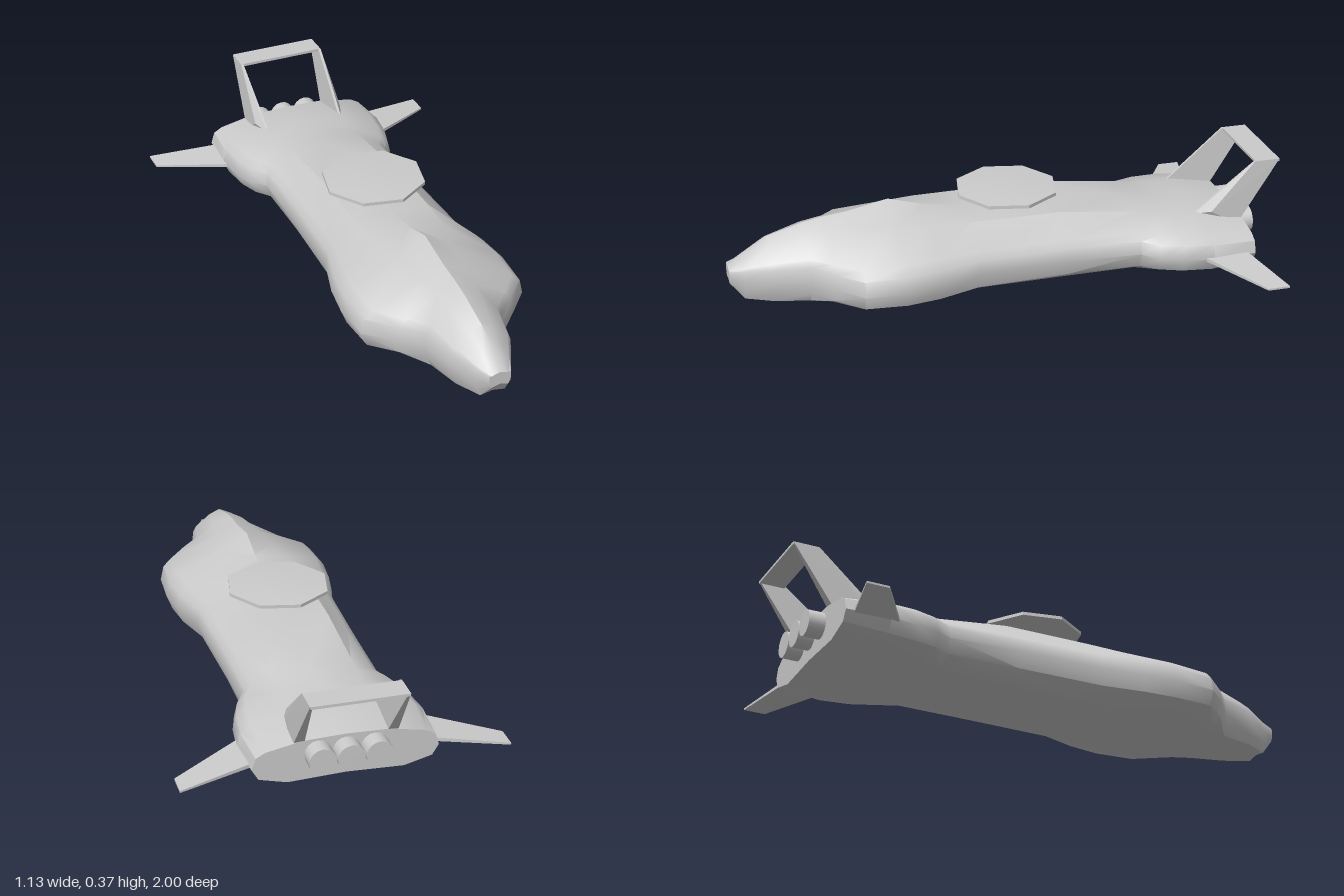
import * as THREE from 'three';
import { toCreasedNormals } from 'three/addons/utils/BufferGeometryUtils.js';
import { ConvexGeometry } from 'three/addons/geometries/ConvexGeometry.js';

const material = new THREE.MeshStandardMaterial({ color: 0xcccccc });

function part(name, geometry, parent) {
  const mesh = new THREE.Mesh(geometry, material);
  mesh.name = name;
  parent.add(mesh);
  return mesh;
}

// Hull stations, nose to tail:
// z, ridge y, deck edge x, deck edge y, shoulder y, half width, widest y, keel x, keel y
const STATIONS = [
  [1.0, .135, .02, .13, .125, .04, .11, .03, .08],
  [.95, .17, .03, .16, .14, .065, .1, .045, .02],
  [.86, .23, .04, .212, .165, .112, .1, .09, .02],
  [.73, .267, .06, .243, .18, .143, .1, .12, .018],
  [.66, .28, .07, .25, .18, .22, .1, .14, .015],
  [.57, .29, .08, .255, .18, .305, .095, .17, .008],
  [.42, .32, .1, .262, .185, .315, .095, .18, .004],
  [.3, .285, .13, .26, .185, .3, .1, .18, .005],
  [.15, .26, .14, .256, .18, .26, .11, .17, .01],
  [-.18, .258, .14, .254, .177, .25, .11, .17, .012],
  [-.45, .225, .14, .221, .17, .25, .1, .17, .012],
  [-.51, .217, .14, .212, .165, .29, .09, .18, .01],
  [-.59, .205, .14, .201, .165, .315, .085, .19, .006],
  [-.7, .202, .15, .198, .16, .33, .085, .19, .004],
  [-.86, .175, .15, .17, .145, .32, .085, .2, .022],
];

// Symmetric ring around one station, clockwise from the ridge
function ring([z, yt, ax, ay, by, w, wy, dx, yb]) {
  const half = [
    [ax, ay], [w * .86, by], [w * .96, (by + wy) / 2 + .012], [w, wy],
    [w * .93, wy * .4 + yb * .6], [dx, yb],
  ];
  const mirrored = half.map(([x, y]) => [-x, y]).reverse();
  return [[0, yt], ...half, [0, yb + .008], ...mirrored].map(([x, y]) => [x, y, z]);
}

function hullGeometry() {
  const rings = STATIONS.map(ring);
  const n = rings[0].length;
  const last = rings.length - 1;
  const points = rings.flat();
  const index = [];
  for (let i = 0; i < last; i++) {
    for (let j = 0; j < n; j++) {
      const k = (j + 1) % n;
      const a = i * n + j, b = i * n + k, c = a + n, d = b + n;
      // Mirror the diagonal so both sides match
      if (j < n / 2) index.push(a, b, c, b, d, c);
      else index.push(a, b, d, a, d, c);
    }
  }
  // Nose tip and stern caps
  const nose = points.push([0, .11, 1.0]) - 1;
  const stern = points.push([0, .1, -.86]) - 1;
  for (let j = 0; j < n; j++) {
    const k = (j + 1) % n;
    index.push(nose, k, j, stern, last * n + j, last * n + k);
  }
  const geometry = new THREE.BufferGeometry();
  geometry.setAttribute('position', new THREE.Float32BufferAttribute(points.flat(), 3));
  geometry.setIndex(index);
  return toCreasedNormals(geometry, 0.7);
}

// Flat-faced solid from its corners, mirrored by side (+1 left, -1 right)
function solid(corners, side = 1) {
  return new ConvexGeometry(corners.map(([x, y, z]) => new THREE.Vector3(x * side, y, z)));
}

export function createModel() {
  const model = new THREE.Group();
  model.name = 'spacecraft';
  part('hull', hullGeometry(), model);

  for (const side of [1, -1]) {
    const label = side > 0 ? 'left' : 'right';
    // Swept side wing, thinner at the tip
    part(label + 'Wing', solid([
      [.3, .094, -.655], [.3, .08, -.655], [.3, .094, -.825], [.3, .08, -.825],
      [.565, .067, -.81], [.565, .06, -.81], [.565, .067, -.89], [.565, .06, -.89],
    ], side), model);
    // Tail fin leaning backwards, wedge-shaped at the base
    part(label + 'TailFin', solid([
      [.146, .19, -.68], [.156, .19, -.68], [.14, .14, -.84], [.18, .14, -.84],
      [.178, .2, -.74], [.158, .375, -.905], [.167, .375, -.905],
      [.158, .375, -1], [.167, .375, -1],
    ], side), model);
  }

  // Plate joining the fin tips
  part('tailBridge', new THREE.BoxGeometry(.33, .01, .092), model).position.set(0, .37, -.954);

  // Row of three engine nozzles
  for (let i = -1; i <= 1; i++) {
    const nozzle = new THREE.CylinderGeometry(.047, .047, .12, 16);
    nozzle.rotateX(Math.PI / 2);
    part('engine', nozzle, model).position.set(i * .097, .117, -.86);
  }

  // Eight-sided dish on a flared pylon
  const profile = [[0, .294], [.1, .297], [.188, .305], [.188, .317], [.1, .323], [0, .325]];
  const dish = new THREE.LatheGeometry(profile.map(([x, y]) => new THREE.Vector2(x, y)), 8);
  const radar = part('radarDish', toCreasedNormals(dish, 0.3), model);
  radar.position.z = -.015;
  radar.rotation.y = .18;
  part('dishPylon', new THREE.CylinderGeometry(.018, .03, .06, 8), model).position.set(0, .275, -.01);

  return model;
}
